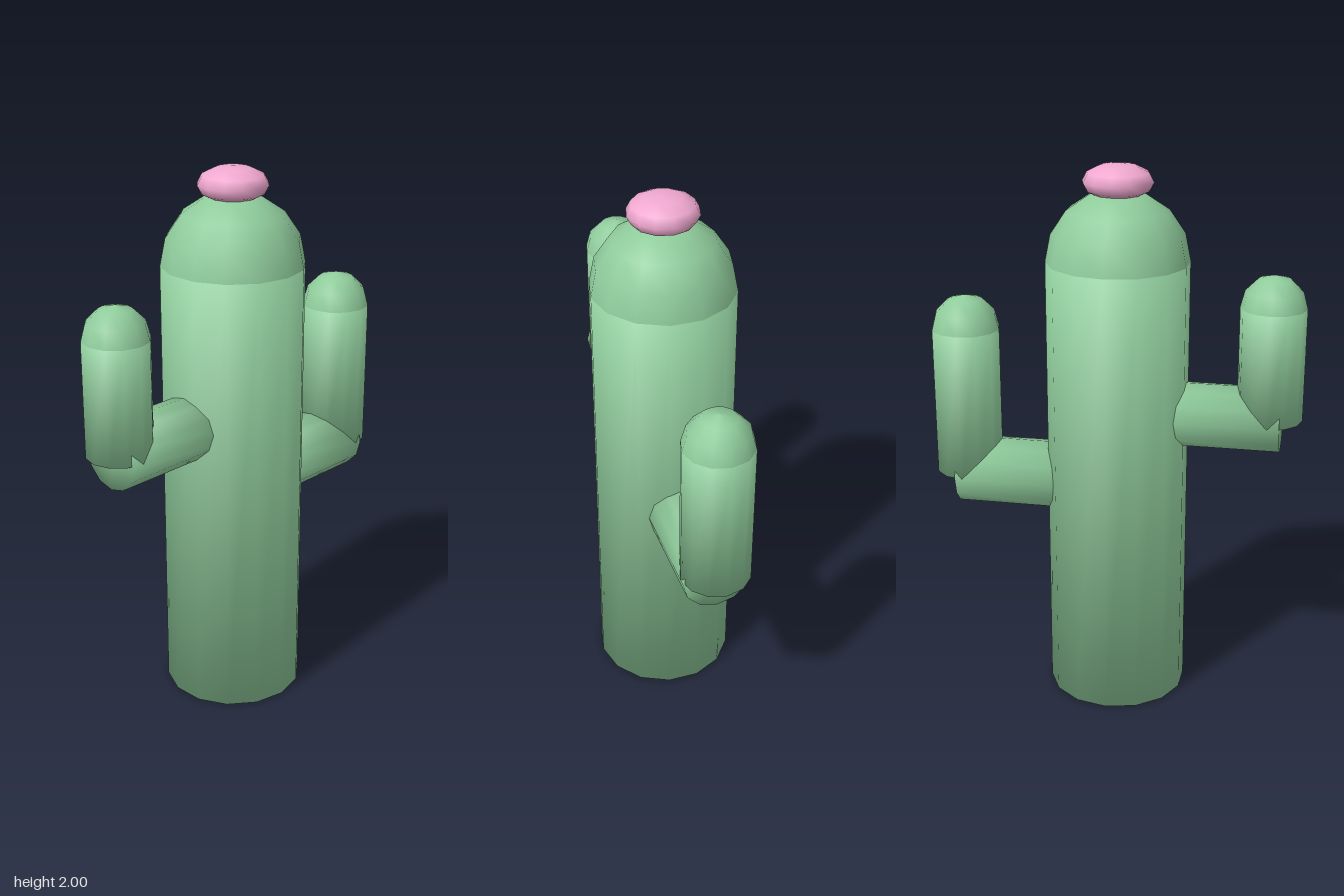
import * as THREE from 'three';
import { mergeVertices } from 'three/addons/utils/BufferGeometryUtils.js';

const green = new THREE.MeshStandardMaterial({ color: 0x8fcb9b });
const pink = new THREE.MeshStandardMaterial({ color: 0xf0a8d0 });

function part(name, geometry, material, x, y, z = 0) {
  const mesh = new THREE.Mesh(geometry, material);
  mesh.name = name;
  mesh.position.set(x, y, z);
  return mesh;
}

// Capped cylinder whose shading flows softly over the rims
function softCylinder(radius, length, sides) {
  let g = new THREE.CylinderGeometry(radius, radius, length, sides);
  g.deleteAttribute('normal');
  g.deleteAttribute('uv');
  g = mergeVertices(g);
  g.computeVertexNormals();
  const p = g.attributes.position;
  const n = new THREE.Vector3();
  for (let i = 0; i < p.count; i++) {
    const x = p.getX(i) / radius, z = p.getZ(i) / radius;
    if (Math.hypot(x, z) < 0.5) continue; // cap centre stays axial
    n.set(x, 0.75 * Math.sign(p.getY(i)), z).normalize();
    g.attributes.normal.setXYZ(i, n.x, n.y, n.z);
  }
  return g;
}

// Hemisphere lined up with the sides of the cylinder below it
function dome(radius, sides, rows) {
  const profile = [];
  for (let i = 0; i <= rows; i++) {
    const a = (i / rows) * Math.PI / 2;
    profile.push(new THREE.Vector2(i === rows ? 0 : radius * Math.cos(a), radius * Math.sin(a)));
  }
  return new THREE.LatheGeometry(profile, sides);
}

// Arm: a sideways stub out of the trunk, then an upright with a rounded tip
function arm(name, { radius, x, elbowY, topY, endX, trunkX }) {
  const group = new THREE.Group();
  group.name = name;
  const length = Math.abs(endX - trunkX);
  const stub = part('armStub', softCylinder(radius, length, 12), green, (endX + trunkX) / 2, elbowY);
  stub.rotation.z = Math.PI / 2;
  const height = topY - elbowY;
  group.add(
    stub,
    part('armUpright', softCylinder(radius, height, 12), green, x, elbowY + height / 2),
    part('armTip', dome(radius, 12, 3), green, x, topY),
  );
  return group;
}

export function createModel() {
  const model = new THREE.Group();
  model.name = 'cactus';
  const cx = -0.014, trunkR = 0.257, trunkH = 1.655;

  // Trunk and its rounded top
  model.add(
    part('trunk', softCylinder(trunkR, trunkH, 14), green, cx, trunkH / 2),
    part('trunkTop', dome(trunkR, 14, 4), green, cx, trunkH),
  );

  // Arms
  model.add(
    arm('leftArm', { radius: 0.126, x: 0.552, elbowY: 0.83, topY: 1.38, endX: 0.58, trunkX: 0.1 }),
    arm('rightArm', { radius: 0.118, x: -0.567, elbowY: 1.102, topY: 1.515, endX: -0.61, trunkX: -0.13 }),
  );

  // Flattened flower on top
  const flower = part('flower', new THREE.SphereGeometry(0.127, 12, 6), pink, cx, 1.937);
  flower.scale.y = 0.5;
  model.add(flower);
  return model;
}
